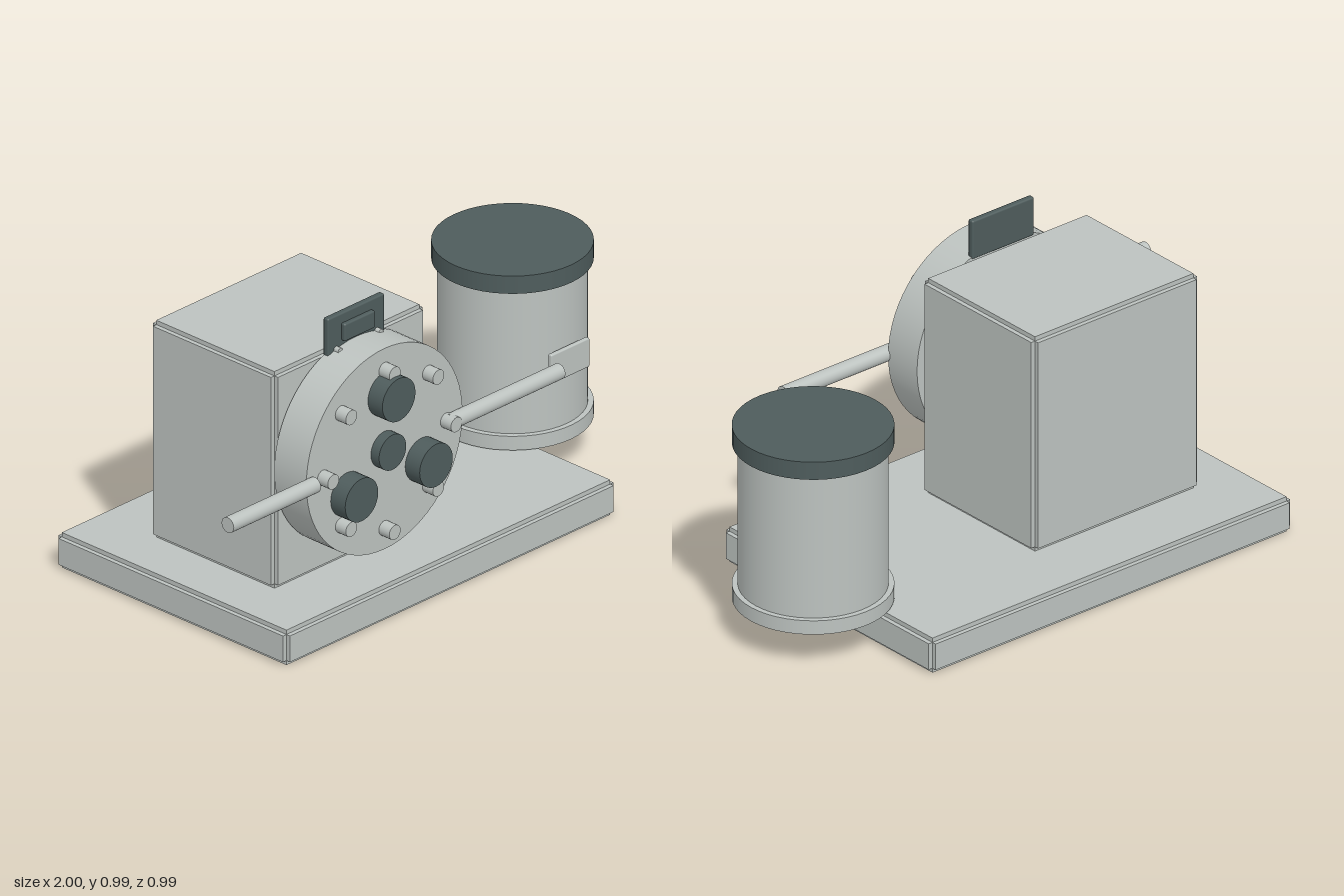
import * as THREE from 'three';
import { RoundedBoxGeometry } from 'three/addons/geometries/RoundedBoxGeometry.js';

export function createModel() {
  const model = new THREE.Group();
  model.name = 'peristalticPump';

  const lightGrey = new THREE.MeshStandardMaterial({ color: 0xbcc2bf });
  lightGrey.name = 'light grey';
  const darkSlate = new THREE.MeshStandardMaterial({ color: 0x4e5c5c });
  darkSlate.name = 'dark slate';

  function add(name, geometry, material, x, y, z, parent = model) {
    const mesh = new THREE.Mesh(geometry, material);
    mesh.name = name;
    mesh.position.set(x, y, z);
    parent.add(mesh);
    return mesh;
  }

  // Box with notched edges: three crossing slabs, each full size along one axis
  function notchedBox(name, w, h, d, inset, x, y, z) {
    const group = new THREE.Group();
    group.name = name;
    group.position.set(x, y, z);
    model.add(group);
    const i = inset * 2;
    for (const [sx, sy, sz] of [[w, h - i, d - i], [w - i, h, d - i], [w - i, h - i, d]]) {
      add(name + 'Slab', new THREE.BoxGeometry(sx, sy, sz), lightGrey, 0, 0, 0, group);
    }
  }

  // Upright cylinder between two heights
  function upright(name, r, y0, y1, material, x, z) {
    add(name, new THREE.CylinderGeometry(r, r, y1 - y0, 48), material, x, (y0 + y1) / 2, z);
  }

  // Cylinder along z between two depths
  function facing(name, r, z0, z1, material, x, y, sides = 32) {
    const geometry = new THREE.CylinderGeometry(r, r, z1 - z0, sides).rotateX(Math.PI / 2);
    add(name, geometry, material, x, y, (z0 + z1) / 2);
  }

  // Cylinder along x
  function hose(name, x0, x1) {
    const geometry = new THREE.CylinderGeometry(0.026, 0.026, x1 - x0, 24).rotateZ(Math.PI / 2);
    add(name, geometry, lightGrey, (x0 + x1) / 2, 0.54, 0.432);
  }

  // Base plate and motor housing
  notchedBox('basePlate', 1.46, 0.12, 0.99, 0.015, -0.075, 0.06, 0);
  notchedBox('motorHousing', 0.67, 0.745, 0.535, 0.015, -0.29, 0.4925, 0.002);

  // Pump head with a ring of bolts
  const cx = -0.29, cy = 0.54;
  facing('pumpHead', 0.345, 0.278, 0.415, lightGrey, cx, cy, 64);
  for (let i = 0; i < 8; i++) {
    const a = i * Math.PI / 4;
    facing('bolt', 0.025, 0.41, 0.46, lightGrey, cx + 0.272 * Math.cos(a), cy + 0.272 * Math.sin(a), 20);
  }

  // Rotor hub and three rollers
  facing('rotorHub', 0.06, 0.41, 0.45, darkSlate, cx, cy);
  for (let i = 0; i < 3; i++) {
    const a = Math.PI / 2 + i * Math.PI * 2 / 3;
    facing('roller', 0.073, 0.41, 0.477, darkSlate, cx + 0.19 * Math.cos(a), cy + 0.19 * Math.sin(a));
  }

  // Hoses
  hose('rightHose', -1, -0.615);
  hose('leftHose', -0.02, 0.465);

  // Display panel with screen and knobs
  add('displayPanel', new RoundedBoxGeometry(0.25, 0.133, 0.022, 2, 0.006), darkSlate, cx, 0.921, 0.284);
  add('displayScreen', new RoundedBoxGeometry(0.135, 0.06, 0.018, 2, 0.006), darkSlate, cx, 0.925, 0.302);
  for (const side of [-1, 1]) {
    facing('displayKnob', 0.01, 0.29, 0.314, lightGrey, cx + side * 0.09, 0.873, 12);
  }

  // Collection jar: foot, body, lid and label
  const jx = 0.748, jz = -0.042;
  upright('jarFoot', 0.25, 0.125, 0.173, lightGrey, jx, jz);
  upright('jarBody', 0.232, 0.17, 0.665, lightGrey, jx, jz);
  upright('jarLid', 0.25, 0.663, 0.724, darkSlate, jx, jz);
  add('jarLabel', new RoundedBoxGeometry(0.17, 0.1, 0.016, 2, 0.005), lightGrey, jx, 0.393, 0.199);

  return model;
}
